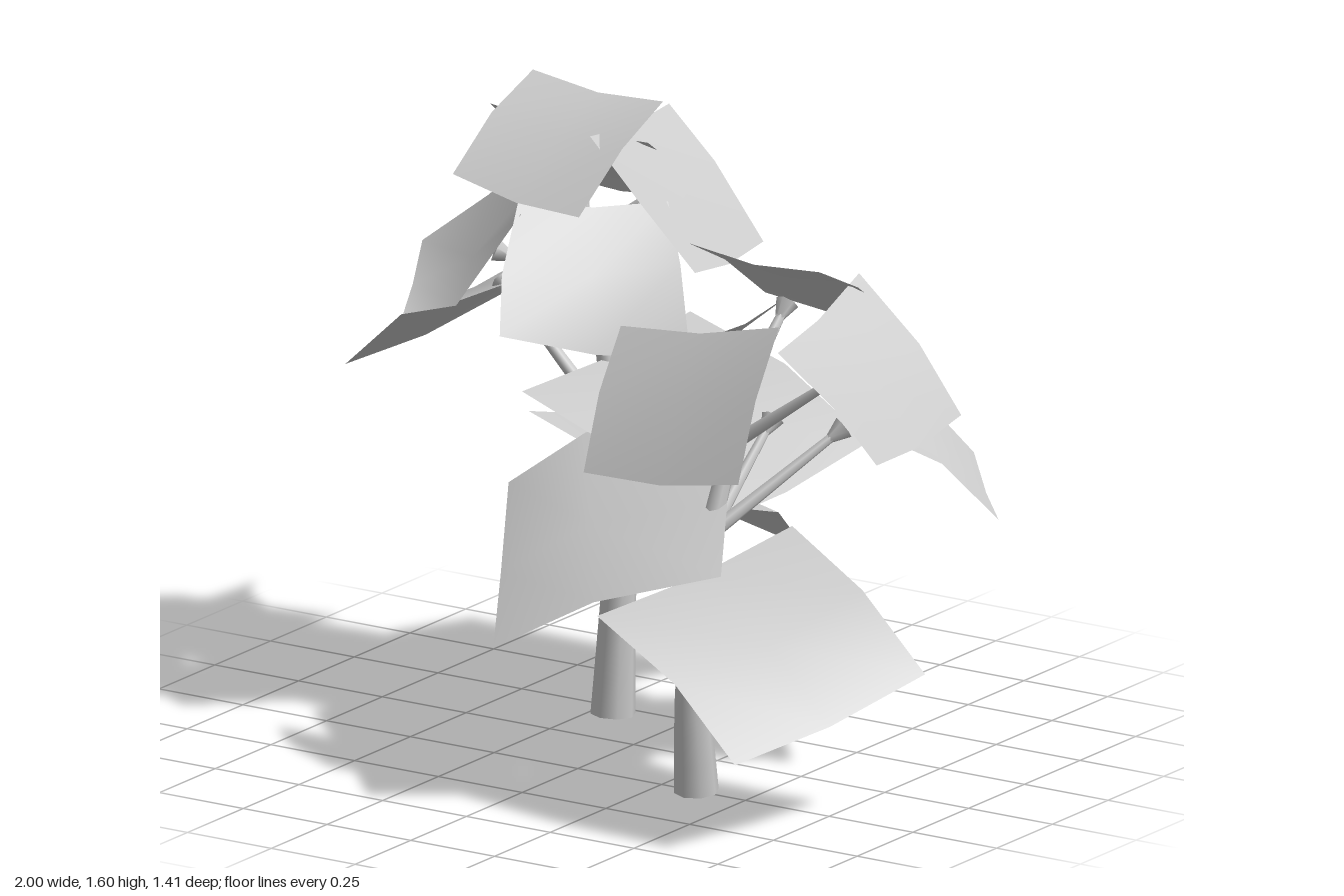
import * as THREE from 'three';

const stemMat = new THREE.MeshStandardMaterial({ color: 0xcccccc });
const leafMat = new THREE.MeshStandardMaterial({ color: 0xcccccc, side: THREE.DoubleSide });
const V = (p) => new THREE.Vector3(...p);

// Tapered tube through points; ease > 1 thins it quickly near the base
function stem(name, points, r0, r1, ease = 1, segs = 14, sides = 8) {
  const curve = new THREE.CatmullRomCurve3(points.map(V));
  const geo = new THREE.TubeGeometry(curve, segs, 1, sides);
  const pos = geo.attributes.position;
  const p = new THREE.Vector3(), c = new THREE.Vector3();
  for (let i = 0; i < pos.count; i++) {
    const t = Math.floor(i / (sides + 1)) / segs;
    curve.getPointAt(t, c);
    p.fromBufferAttribute(pos, i).sub(c).multiplyScalar(r1 + (r0 - r1) * (1 - t) ** ease).add(c);
    pos.setXYZ(i, p.x, p.y, p.z);
  }
  const mesh = new THREE.Mesh(geo, stemMat);
  mesh.name = name;
  return mesh;
}

// Thin side branch with a small flared bud where it meets the leaf
function branch(from, to) {
  const g = new THREE.Group();
  g.name = 'branch';
  const a = V(from), b = V(to), dir = b.clone().sub(a).normalize();
  const mid = a.clone().lerp(b, 0.5).toArray();
  g.add(stem('twig', [from, mid, to], 0.02, 0.011, 1, 4, 6));
  const bud = new THREE.Mesh(new THREE.CylinderGeometry(0.03, 0.01, 0.05, 6), stemMat);
  bud.name = 'bud';
  bud.position.copy(b).addScaledVector(dir, -0.02);
  bud.quaternion.setFromUnitVectors(new THREE.Vector3(0, 1, 0), dir);
  g.add(bud);
  return g;
}

// Bent leaf sheet: two long edges of three points, with a slightly sunken midrib
function leaf(edgeA, edgeB) {
  const A = edgeA.map(V), B = edgeB.map(V), verts = [], index = [];
  for (let i = 0; i < 3; i++) {
    const m = A[i].clone().lerp(B[i], 0.5);
    m.y -= 0.018;
    verts.push(...A[i].toArray(), ...m.toArray(), ...B[i].toArray());
  }
  for (let r = 0; r < 2; r++) for (let c = 0; c < 2; c++) {
    const k = r * 3 + c;
    index.push(k, k + 1, k + 3, k + 1, k + 4, k + 3);
  }
  const geo = new THREE.BufferGeometry();
  geo.setAttribute('position', new THREE.Float32BufferAttribute(verts, 3));
  geo.setIndex(index);
  geo.computeVertexNormals();
  // Keep the winding facing up
  if (geo.attributes.normal.getY(4) < 0) {
    geo.setIndex(index.reverse());
    geo.computeVertexNormals();
  }
  const mesh = new THREE.Mesh(geo, leafMat);
  mesh.name = 'leaf';
  return mesh;
}

function plant(name, trunk, r0, r1, branches, leaves) {
  const g = new THREE.Group();
  g.name = name;
  g.add(stem('trunk', trunk, r0, r1, 1.5));
  const base = new THREE.Mesh(new THREE.CircleGeometry(r0, 8), stemMat);
  base.name = 'trunkBase';
  base.rotation.x = Math.PI / 2;
  base.position.set(trunk[0][0], 0.001, trunk[0][2]);
  g.add(base);
  branches.forEach(([a, b]) => g.add(branch(a, b)));
  leaves.forEach(([a, b]) => g.add(leaf(a, b)));
  return g;
}

export function createModel() {
  const model = new THREE.Group();
  model.name = 'twinPlants';

  // Tall plant
  const fork = [-0.29, 1.2, -0.2];
  model.add(plant('tallPlant',
    [[-0.185, 0, -0.185], [-0.175, 0.3, -0.195], [-0.165, 0.62, -0.21], [-0.2, 0.8, -0.21], [-0.25, 1.08, -0.21], [-0.31, 1.4, -0.2]],
    0.057, 0.018,
    [
      [[-0.19, 0.73, -0.2], [-0.57, 1.04, -0.27]],
      [[-0.25, 1.08, -0.21], [-0.46, 1.18, -0.08]],
      [[-0.24, 1.02, -0.21], [-0.13, 1.17, -0.02]],
      [fork, [-0.09, 1.36, -0.28]],
      [fork, [-0.38, 1.33, -0.36]],
      [[-0.3, 1.34, -0.2], [-0.28, 1.46, -0.1]],
    ],
    [
      // crown
      [[[-0.48, 1.6, -0.27], [-0.49, 1.53, -0.1], [-0.495, 1.41, 0.067]], [[-0.075, 1.59, -0.245], [-0.08, 1.51, -0.07], [-0.09, 1.375, 0.11]]],
      // front
      [[[-0.29, 1.38, 0.08], [-0.26, 1.22, 0.2], [-0.21, 1.09, 0.285]], [[-0.03, 1.35, -0.2], [0.06, 1.22, -0.12], [0.11, 0.99, -0.09]]],
      // front left side
      [[[-0.49, 1.37, -0.3], [-0.6, 1.26, -0.25], [-0.76, 1.13, -0.195]], [[-0.27, 1.35, 0.1], [-0.43, 1.1, 0.15], [-0.555, 1.07, 0.2]]],
      // upper side
      [[[-0.22, 1.5, -0.49], [-0.09, 1.37, -0.5], [0.045, 1.18, -0.515]], [[-0.17, 1.53, -0.06], [-0.03, 1.38, -0.07], [0.13, 1.22, -0.08]]],
      // upper back
      [[[-0.555, 1.52, -0.19], [-0.58, 1.41, -0.345], [-0.61, 1.26, -0.5]], [[-0.13, 1.47, -0.26], [-0.155, 1.37, -0.42], [-0.18, 1.24, -0.575]]],
      // low back
      [[[-0.46, 0.73, -0.22], [-0.5, 0.64, -0.53], [-0.53, 0.49, -0.71]], [[0.11, 0.58, -0.21], [0.1, 0.49, -0.5], [0.05, 0.345, -0.69]]],
      // far side
      [[[-0.45, 1.11, -0.51], [-0.66, 1.03, -0.61], [-0.84, 0.86, -0.69]], [[-0.58, 1.03, -0.06], [-0.78, 0.95, -0.13], [-1, 0.765, -0.21]]],
      // between the plants
      [[[-0.15, 0.975, -0.48], [0.16, 0.9, -0.44], [0.43, 0.75, -0.41]], [[-0.28, 0.885, 0.08], [0.06, 0.79, 0.13], [0.33, 0.655, 0.18]]],
    ]));

  // Short plant
  const low = [0.38, 0.66, 0.23], high = [0.4, 0.88, 0.16];
  model.add(plant('shortPlant',
    [[0.36, 0, 0.26], [0.365, 0.3, 0.285], [0.375, 0.52, 0.27], [0.385, 0.7, 0.22], [0.4, 0.9, 0.15], [0.42, 1.08, 0.08]],
    0.057, 0.018,
    [
      [low, [0.59, 0.9, -0.05]],
      [low, [0.4, 0.9, -0.02]],
      [high, [0.42, 1.03, 0.36]],
      [high, [0.69, 1.09, 0.12]],
      [high, [0.25, 1.02, 0.1]],
      [[0.42, 1.06, 0.09], [0.43, 1.2, -0.04]],
    ],
    [
      // front
      [[[0.175, 1.19, 0.32], [0.19, 1.05, 0.44], [0.21, 0.87, 0.54]], [[0.64, 1.26, 0.31], [0.65, 1.1, 0.43], [0.665, 0.91, 0.53]]],
      // outer side
      [[[0.6, 1.29, -0.11], [0.74, 1.115, -0.17], [0.845, 0.94, -0.2]], [[0.65, 1.2, 0.33], [0.79, 1.07, 0.29], [0.895, 0.93, 0.255]]],
      // crown
      [[[0.225, 1.355, 0.09], [0.22, 1.27, -0.08], [0.22, 1.14, -0.26]], [[0.635, 1.355, 0.12], [0.63, 1.27, -0.06], [0.63, 1.14, -0.245]]],
      // inner side
      [[[0.39, 1.18, 0.3], [0.24, 1.07, 0.32], [0.11, 0.9, 0.33]], [[0.39, 1.2, -0.13], [0.24, 1.08, -0.13], [0.1, 0.91, -0.12]]],
      // low front
      [[[0.5, 0.655, 0.04], [0.77, 0.555, 0.13], [0.97, 0.375, 0.15]], [[0.27, 0.515, 0.57], [0.555, 0.405, 0.65], [0.755, 0.235, 0.68]]],
      // back outer
      [[[0.73, 0.95, 0.06], [0.9, 0.865, -0.03], [1, 0.71, -0.135]], [[0.42, 1.01, -0.24], [0.56, 0.95, -0.37], [0.67, 0.735, -0.52]]],
      // large low front
      [[[0.26, 0.89, -0.06], [-0.09, 0.81, 0.08], [-0.26, 0.675, 0.17]], [[0.56, 0.635, 0.45], [0.29, 0.565, 0.615], [0.05, 0.43, 0.705]]],
    ]));

  return model;
}
